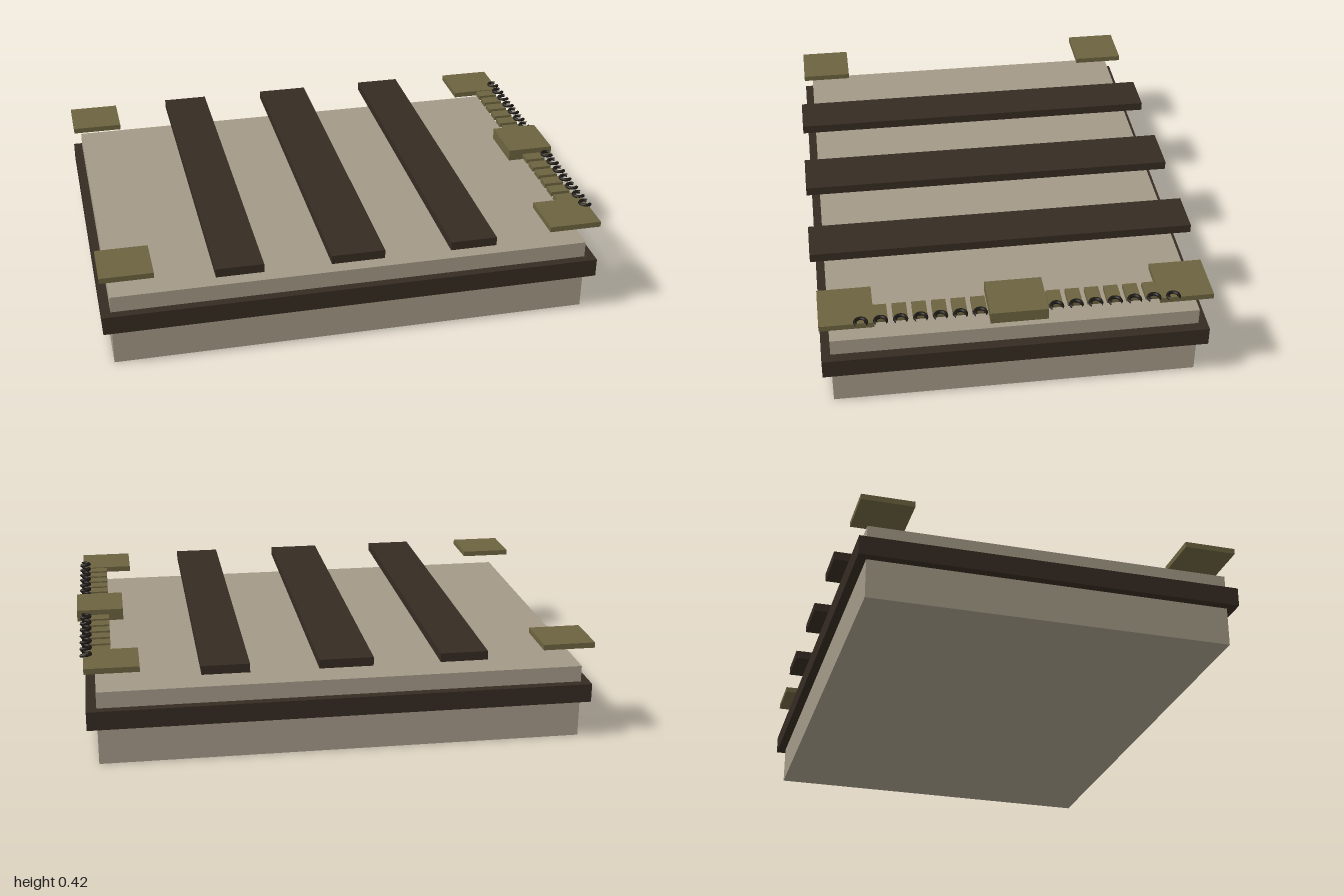
import * as THREE from 'three';

function material(name, color) {
  const m = new THREE.MeshStandardMaterial({ color });
  m.name = name;
  return m;
}

export function createModel() {
  const group = new THREE.Group();
  const stone = material('warm grey', 0xa29886);
  const dark = material('dark brown', 0x352b22);
  const brass = material('aged brass', 0x6b623f);
  const black = material('blackened iron', 0x1c1814);

  // Box given by its limits on each axis
  function box(name, mat, [x0, x1], [y0, y1], [z0, z1]) {
    const mesh = new THREE.Mesh(new THREE.BoxGeometry(x1 - x0, y1 - y0, z1 - z0), mat);
    mesh.position.set((x0 + x1) / 2, (y0 + y1) / 2, (z0 + z1) / 2);
    mesh.name = name;
    group.add(mesh);
  }

  // Main block with a band around it
  box('body', stone, [-0.965, 0.935], [0, 0.295], [-0.707, 0.707]);
  box('band', dark, [-1, 0.975], [0.155, 0.23], [-0.742, 0.742]);

  // Three straps floating over the top
  for (const [x0, x1] of [[-0.566, -0.381], [-0.119, 0.09], [0.354, 0.538]])
    box('strap', dark, [x0, x1], [0.365, 0.4], [-0.761, 0.761]);

  // Corner plates
  for (const xs of [[-1, -0.795], [0.766, 0.975]]) {
    box('cornerPlate', brass, xs, [0.383, 0.405], [0.537, 0.742]);
    box('cornerPlate', brass, xs, [0.383, 0.405], [-0.742, -0.537]);
  }

  // Clasp in the middle of the left edge
  box('clasp', brass, [0.812, 1], [0.374, 0.421], [-0.109, 0.109]);

  // Row of tabs, each with an open ring
  const ring = new THREE.TorusGeometry(0.021, 0.007, 8, 20, Math.PI * 1.5);
  ring.rotateZ(Math.PI / 4).rotateX(Math.PI / 2);
  for (const side of [-1, 1]) {
    for (let i = 0; i < 7; i++) {
      const z = side * (0.143 + i * 0.074);
      box('tab', brass, [0.87, 0.95], [0.383, 0.402], [z - 0.027, z + 0.027]);
      const mesh = new THREE.Mesh(ring, black);
      mesh.position.set(0.969, 0.407, z);
      mesh.name = 'ring';
      group.add(mesh);
    }
  }
  return group;
}
